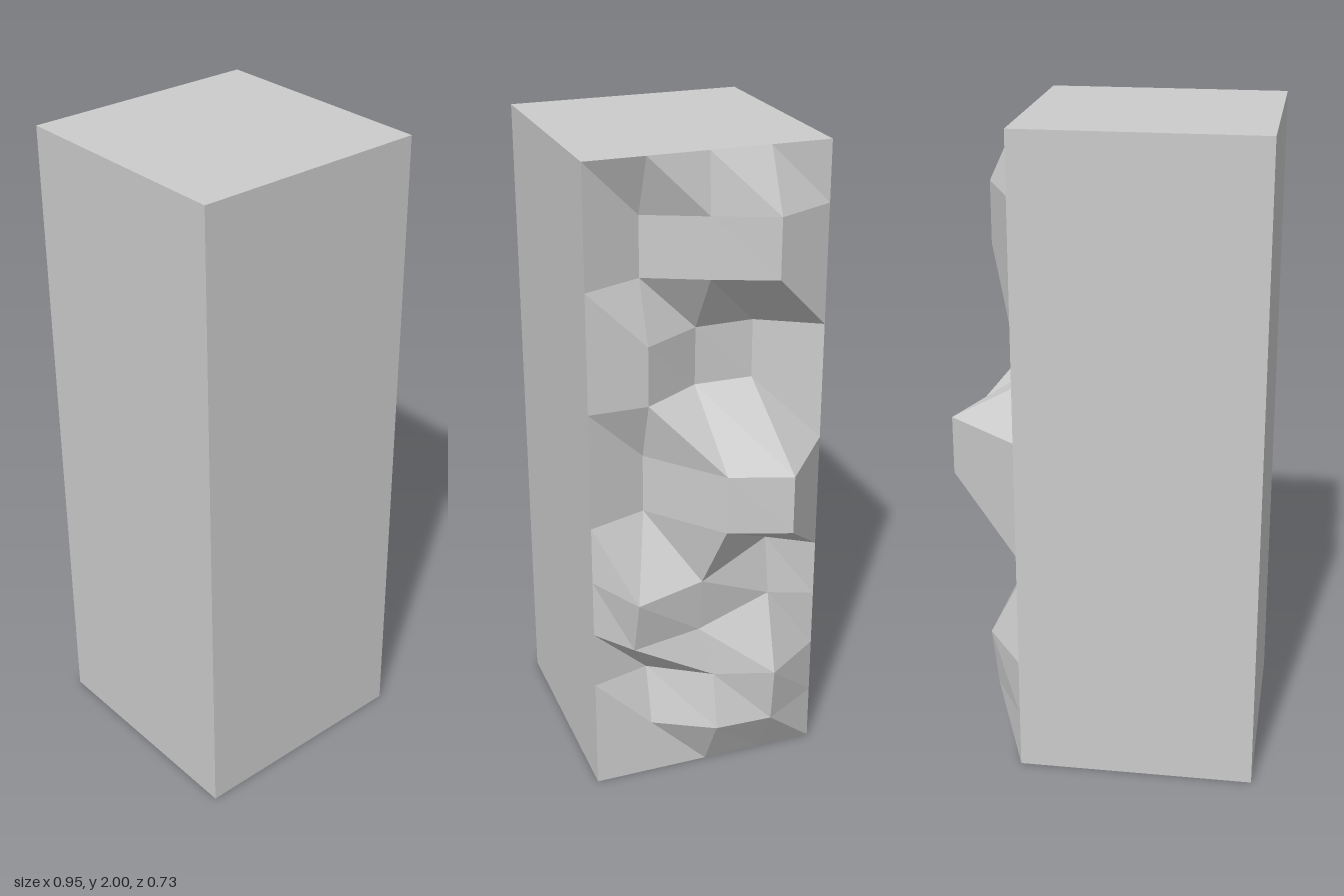
import * as THREE from 'three';

const X0 = -0.475, X1 = 0.25, Z = 0.3636, H = 2;
const COLS = 4, ROWS = 11;

// Depth of the rough face at the three inner columns (front to back), rows bottom to top
const DEPTH = [
  [0, 0, 0],
  [0, 0.1, 0.105],
  [-0.05, 0.066, 0.125],
  [0.03, 0.04, 0.01],
  [0.08, 0.066, -0.02],
  [-0.06, 0.16, 0.225],
  [-0.06, 0.163, 0.225],
  [0, -0.11, -0.11],
  [0, -0.105, -0.11],
  [-0.073, 0.012, 0.085],
  [-0.073, 0.01, 0.085],
  [0, 0, 0],
];
// Sideways shift [z, y] of the inner columns on the two skewed rows
const SHIFT = [[0.063, -0.062], [0.04, -0.023], [-0.02, 0.041]];

function rockFace() {
  const pos = [], index = [];
  for (let r = 0; r <= ROWS; r++) {
    for (let c = 0; c <= COLS; c++) {
      const inner = c > 0 && c < COLS;
      const [dz, dy] = inner && (r === 3 || r === 4) ? SHIFT[c - 1] : [0, 0];
      pos.push(X1 + (inner ? DEPTH[r][c - 1] : 0), (H * r) / ROWS + dy, Z - (2 * Z * c) / COLS + dz);
    }
  }
  for (let r = 0; r < ROWS; r++) {
    for (let c = 0; c < COLS; c++) {
      const bl = r * (COLS + 1) + c, br = bl + 1;
      const tl = bl + COLS + 1, tr = tl + 1;
      index.push(tl, bl, br, tl, br, tr);
    }
  }
  const geo = new THREE.BufferGeometry();
  geo.setAttribute('position', new THREE.Float32BufferAttribute(pos, 3));
  geo.setIndex(index);
  const flat = geo.toNonIndexed();
  flat.computeVertexNormals();
  return flat;
}

export function createModel() {
  const model = new THREE.Group();
  model.name = 'rockPillar';
  const material = new THREE.MeshStandardMaterial({ color: 0xcccccc, flatShading: true, side: THREE.DoubleSide });

  function add(name, geometry) {
    const mesh = new THREE.Mesh(geometry, material);
    mesh.name = name;
    model.add(mesh);
    return mesh;
  }

  // Smooth walls and top; the underside stays open
  const W = X1 - X0, midX = (X0 + X1) / 2;
  add('frontWall', new THREE.PlaneGeometry(W, H)).position.set(midX, H / 2, Z);
  const back = add('backWall', new THREE.PlaneGeometry(W, H));
  back.rotation.y = Math.PI;
  back.position.set(midX, H / 2, -Z);
  const side = add('sideWall', new THREE.PlaneGeometry(2 * Z, H));
  side.rotation.y = -Math.PI / 2;
  side.position.set(X0, H / 2, 0);
  const top = add('top', new THREE.PlaneGeometry(W, 2 * Z));
  top.rotation.x = -Math.PI / 2;
  top.position.set(midX, H, 0);

  // Rough rocky side
  add('rockFace', rockFace());
  return model;
}
